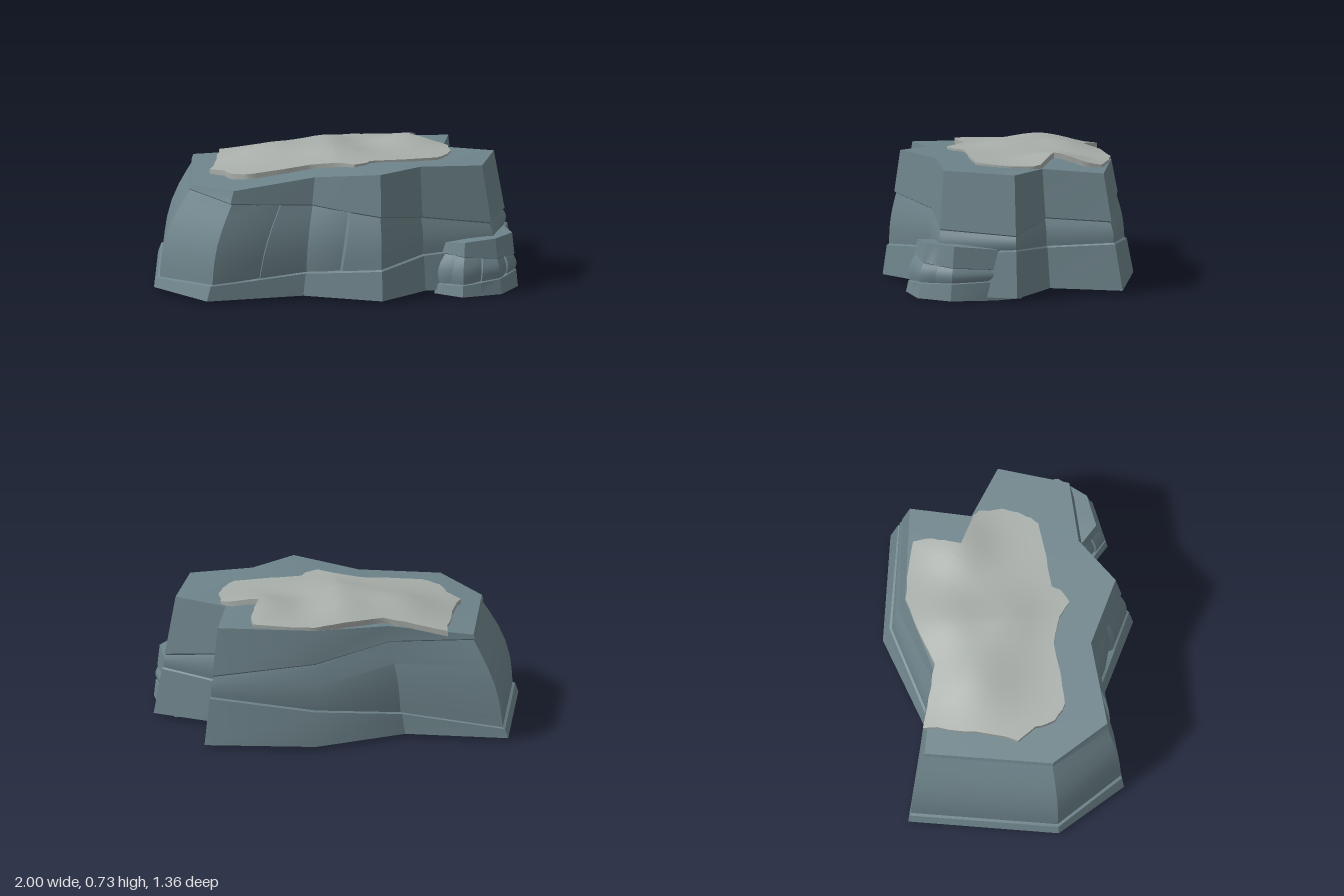
import * as THREE from 'three';
import { toCreasedNormals } from 'three/addons/utils/BufferGeometryUtils.js';

const lerp = THREE.MathUtils.lerp;
const stone = new THREE.MeshStandardMaterial({ color: 0x6e848b });
const cover = new THREE.MeshStandardMaterial({ color: 0xa8aeaa, side: THREE.DoubleSide });

function makeGeometry(positions, index, crease) {
  const g = new THREE.BufferGeometry();
  g.setAttribute('position', new THREE.Float32BufferAttribute(positions, 3));
  g.setIndex(index);
  g.computeVertexNormals();
  return toCreasedNormals(g, crease);
}

// Slanted crack in a wall: a long slope in, then a sharp step out
function crackColumns(a, b, tLow, tHigh, dent) {
  return [[-0.25, 0], [0, dent], [0.03, 0]].map(([shift, depth]) => {
    const lo = tLow + shift, hi = tHigh + shift;
    const column = a.map((v, i) => lerp(v, b[i], [2, 3, 5, 6].includes(i) ? hi : lo));
    return [...column, depth];
  });
}

// Layered rock. Each corner: foot x, z, rim x, z, lower seam, upper seam, rim height, bulge
function layeredRock({ corners, cracks, centre, base, top, seam }) {
  const cols = [];
  corners.forEach((c, i) => {
    cols.push([...c, 0]);
    const next = corners[(i + 1) % corners.length];
    for (const [edge, lo, hi, dent] of cracks) {
      if (edge === i) cols.push(...crackColumns(c, next, lo, hi, dent));
    }
  });
  const positions = [], index = [], n = cols.length;
  let levels = 0;
  for (const [fx, fz, rx, rz, y1, y2, yt, bulge, dent] of cols) {
    const profile = [[base, 0], [y1 - seam * 0.6, 0]];
    // The middle layer curves in towards both seams
    for (const t of [0, 0.12, 0.3, 0.5, 0.7, 0.88, 1]) {
      const s = Math.sin(Math.PI * t);
      profile.push([lerp(y1, y2, t), bulge * s - seam * (1 - s) - dent]);
    }
    profile.push([y2 + seam * 0.6, 0], [yt, 0]);
    levels = profile.length;
    for (const [y, push] of profile) {
      const f = (y - base) / (yt - base);
      const x = lerp(fx, rx, f), z = lerp(fz, rz, f);
      const dx = x - centre[0], dz = z - centre[1], k = push / Math.hypot(dx, dz);
      positions.push(x + dx * k, y, z + dz * k);
    }
  }
  const low = n * levels, high = low + 1;
  positions.push(centre[0], base, centre[1], centre[0], top, centre[1]);
  for (let i = 0; i < n; i++) {
    const a = i * levels, b = ((i + 1) % n) * levels;
    for (let j = 0; j < levels - 1; j++) {
      index.push(a + j, b + j, b + j + 1, a + j, b + j + 1, a + j + 1);
    }
    index.push(low, b, a, high, a + levels - 1, b + levels - 1);
  }
  return makeGeometry(positions, index, 0.5);
}

// Ragged sheet draped over the low mounds of the rock top
function topCover() {
  const outline = [
    [-0.56, -0.51], [-0.6, -0.3], [-0.64, -0.1], [-0.68, 0], [-0.61, 0.1], [-0.58, 0.21],
    [-0.49, 0.27], [-0.35, 0.26], [-0.22, 0.24], [-0.15, 0.23], [0, 0.27], [0.08, 0.33],
    [0.15, 0.29], [0.18, 0.24], [0.35, 0.22], [0.55, 0.19], [0.6, 0.13], [0.65, 0],
    [0.65, -0.12], [0.62, -0.16], [0.45, -0.24], [0.48, -0.33], [0.51, -0.42], [0.5, -0.5],
    [0.35, -0.54], [0.17, -0.56], [0, -0.51], [-0.22, -0.43], [-0.4, -0.47],
  ];
  let seed = 7;
  const random = () => (seed = (seed * 16807) % 2147483647) / 2147483647;
  const edge = [];
  outline.forEach((p, i) => {
    const q = outline[(i + 1) % outline.length];
    for (const t of [0, 0.33, 0.67]) {
      const k = 1 - 0.02 * random();
      edge.push([lerp(p[0], q[0], t) * k, lerp(p[1], q[1], t) * k]);
    }
  });
  // Mounds: x, z, height, radius
  const mounds = [[0, -0.03, 0.035, 0.17], [0.43, -0.25, 0.055, 0.17], [-0.32, -0.2, 0.06, 0.22], [0, -0.3, 0.04, 0.16]];
  const height = (x, z) => mounds.reduce(
    (y, [mx, mz, h, r]) => y + h * Math.exp(-((x - mx) ** 2 + (z - mz) ** 2) / (r * r)),
    0.708 + 0.1 * Math.min(x, 0) + 0.05 * z);
  const rings = 9, n = edge.length, positions = [0, height(0, 0), 0], index = [];
  for (let r = 1; r <= rings; r++) {
    for (const [ex, ez] of edge) {
      const x = ex * r / rings, z = ez * r / rings;
      positions.push(x, height(x, z), z);
    }
  }
  // Short skirt that seats the rim on the rock
  for (const [x, z] of edge) positions.push(x, height(x, z) - 0.03, z);
  for (let i = 0; i < n; i++) {
    const j = (i + 1) % n;
    index.push(0, 1 + i, 1 + j);
    for (let r = 0; r < rings; r++) {
      const a = 1 + r * n, b = a + n;
      index.push(a + i, b + i, b + j, a + i, b + j, a + j);
    }
  }
  return makeGeometry(positions, index, 1);
}

export function createModel() {
  const group = new THREE.Group();
  group.name = 'rock';
  const add = (name, geometry, material) => {
    const mesh = new THREE.Mesh(geometry, material);
    mesh.name = name;
    group.add(mesh);
  };

  // Large rock with two sloping seams
  add('mainRock', layeredRock({
    centre: [0, 0], base: 0.043, top: 0.695, seam: 0.012,
    corners: [
      [-1, 0.2, -0.8, 0.18, 0.1, 0.575, 0.605, 0.035],
      [-0.755, 0.57, -0.6, 0.49, 0.13, 0.56, 0.635, 0.025],
      [-0.22, 0.495, -0.15, 0.43, 0.17, 0.53, 0.685, 0.012],
      [0.19, 0.68, 0.19, 0.585, 0.21, 0.49, 0.725, 0],
      [0.45, 0.46, 0.43, 0.4, 0.24, 0.44, 0.72, 0],
      [0.87, 0.42, 0.77, 0.37, 0.27, 0.39, 0.71, 0],
      [1, -0.02, 0.88, -0.01, 0.3, 0.37, 0.7, 0],
      [0.67, -0.21, 0.62, -0.17, 0.27, 0.42, 0.69, 0],
      [0.77, -0.6, 0.69, -0.5, 0.3, 0.41, 0.675, 0],
      [0.17, -0.68, 0.17, -0.56, 0.235, 0.48, 0.665, 0],
      [-0.33, -0.49, -0.24, -0.43, 0.16, 0.55, 0.64, 0.01],
      [-0.88, -0.61, -0.7, -0.51, 0.1, 0.575, 0.605, 0.03],
    ],
    cracks: [[1, 0.45, 0.62, 0.02], [2, 0.42, 0.6, 0.02]],
  }), stone);

  // Pale cover on top
  add('topCover', topCover(), cover);

  // Small rock leaning against the front corner
  add('smallRock', layeredRock({
    centre: [0.74, 0.26], base: 0.025, top: 0.32, seam: 0.007,
    corners: [
      [0.5, 0.45, 0.56, 0.42, 0.08, 0.24, 0.3, 0.01],
      [0.64, 0.57, 0.66, 0.51, 0.09, 0.235, 0.315, 0.01],
      [0.86, 0.515, 0.83, 0.47, 0.11, 0.215, 0.325, 0.008],
      [0.97, 0.34, 0.94, 0.32, 0.12, 0.2, 0.32, 0.006],
      [0.95, 0.1, 0.925, 0.08, 0.13, 0.19, 0.3, 0.004],
      [0.88, -0.05, 0.86, 0.02, 0.13, 0.19, 0.3, 0.004],
      [0.65, 0, 0.67, 0.05, 0.12, 0.2, 0.3, 0.004],
      [0.53, 0.2, 0.58, 0.22, 0.1, 0.22, 0.3, 0.006],
    ],
    cracks: [[0, 0.5, 0.6, 0.01], [1, 0.45, 0.6, 0.01], [2, 0.4, 0.55, 0.01]],
  }), stone);

  return group;
}
